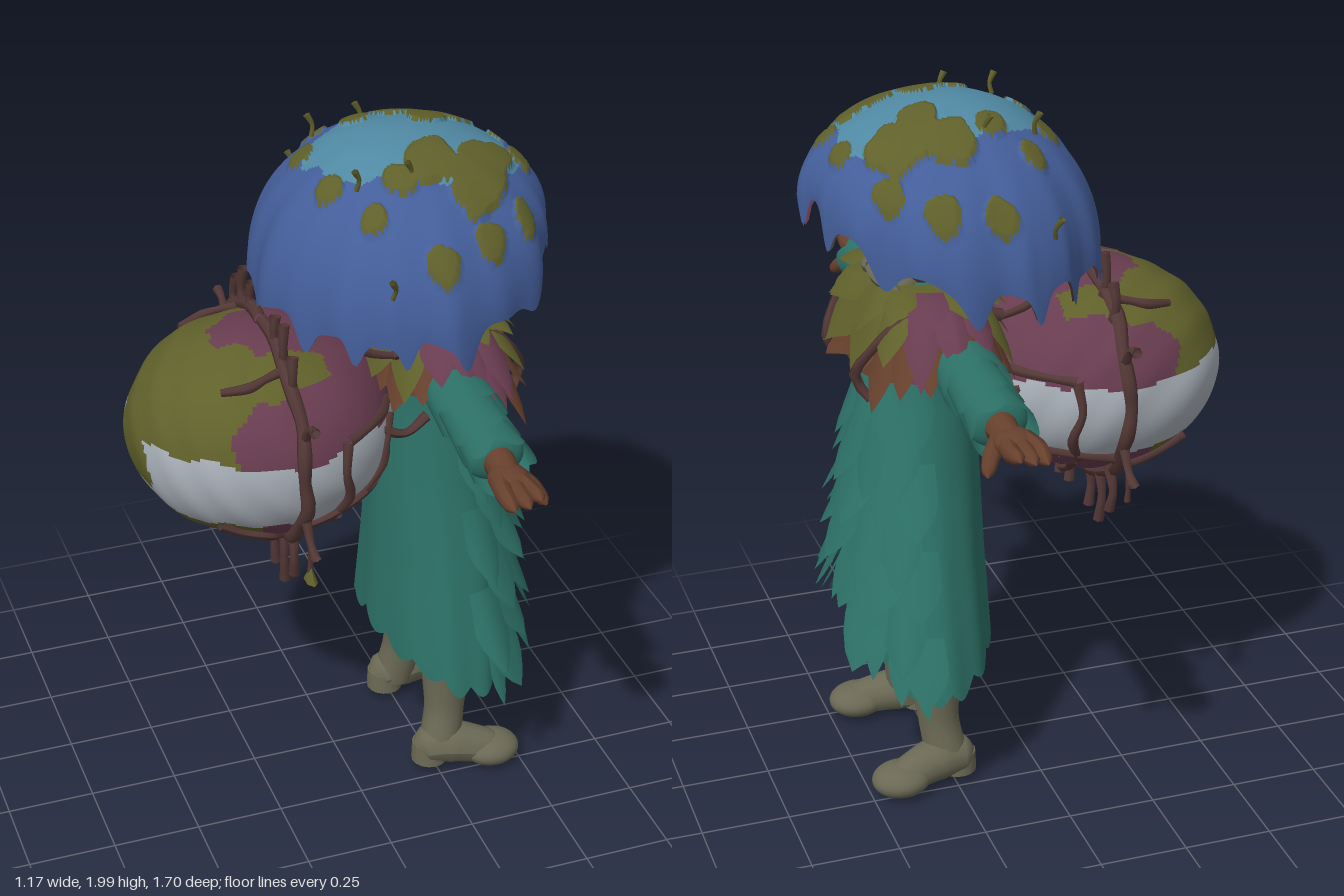
import * as THREE from 'three';

const mat = (name, color) => Object.assign(new THREE.MeshStandardMaterial({ color, side: THREE.DoubleSide }), { name });
const V = (x, y, z) => new THREE.Vector3(x, y, z);
const { sin, cos, abs, max, min, PI, sign } = Math;

// linear look-up in a short [key, value, ...] table
function table(rows, k, col = 1) {
  let i = 0;
  while (i < rows.length - 2 && k > rows[i + 1][0]) i++;
  const a = rows[i], b = rows[i + 1];
  const t = min(1, max(0, (k - a[0]) / (b[0] - a[0])));
  return a[col] + (b[col] - a[col]) * t;
}

export function createModel() {
  const root = new THREE.Group();
  const blue = mat('cap blue', 0x445e9a), sky = mat('cap light blue', 0x5089a3);
  const moss = mat('moss', 0x60602b), plum = mat('plum', 0x683c50);
  const teal = mat('teal cloth', 0x2c7066), hide = mat('boot and beard grey', 0x6b6955);
  const skin = mat('brown skin', 0x67402d), bark = mat('bark', 0x523735);
  const shell = mat('pale shell', 0xa8afb8), gill = mat('gill brown', 0x433d30);

  function add(name, geo, m, pos, scale) {
    const mesh = new THREE.Mesh(geo, m);
    mesh.name = name;
    if (pos) mesh.position.set(...pos);
    if (scale) mesh.scale.set(...scale);
    root.add(mesh);
    return mesh;
  }

  // grid surface f(u, v), with faces sorted into colour groups by pick(point, u, v)
  function surface(name, f, nu, nv, mats, pick = () => 0, closed = true) {
    const pos = [], w = closed ? nu : nu + 1, faces = mats.map(() => []);
    for (let j = 0; j <= nv; j++) for (let i = 0; i < w; i++) pos.push(...f(i / nu, j / nv).toArray());
    for (let j = 0; j < nv; j++) for (let i = 0; i < nu; i++) {
      const n = (i + 1) % w, a = j * w + i, b = j * w + n, c = a + w, d = b + w;
      const u = (i + 0.5) / nu, v = (j + 0.5) / nv;
      faces[pick(f(u, v), u, v)].push(a, b, c, b, d, c);
    }
    const geo = new THREE.BufferGeometry();
    geo.setAttribute('position', new THREE.Float32BufferAttribute(pos, 3));
    geo.setIndex(faces.flat());
    let start = 0;
    faces.forEach((l, k) => { geo.addGroup(start, l.length, k); start += l.length; });
    geo.computeVertexNormals();
    return add(name, geo, mats);
  }

  // pointed leaf lying on a surface: at(k, v), k across and v along
  const leaf = (name, at, m) => surface(name, (u, v) => {
    const w = v < 0.5 ? 1 : 1 - ((v - 0.5) / 0.5) ** 1.4;
    return at((u * 2 - 1) * w, v);
  }, 6, 6, [m], () => 0, false);

  // tube through points with a radius at each point
  function limb(name, pts, radii, m, sides = 8, seg = 16) {
    const curve = new THREE.CatmullRomCurve3(pts.map(p => V(...p)));
    const geo = new THREE.TubeGeometry(curve, seg, 1, sides);
    const p = geo.attributes.position, v = V(), rows = radii.map((r, i) => [i / (radii.length - 1), r]);
    for (let i = 0; i < p.count; i++) {
      const u = Math.floor(i / (sides + 1)) / seg, c = curve.getPointAt(u);
      const r = table(rows, curve.getUtoTmapping(u));
      v.fromBufferAttribute(p, i).sub(c).multiplyScalar(r).add(c);
      p.setXYZ(i, v.x, v.y, v.z);
    }
    geo.computeVertexNormals();
    return add(name, geo, m);
  }
  const twig = (name, pts, r = 0.014) => limb(name, pts, pts.map((_, i) => r * (1 - 0.3 * (i % 2))), bark, 6, 14);
  const wobble = (x, y, z) => sin(x * 23 + y * 9) * sin(z * 19 + 1) + 0.5 * sin(x * 47 + z * 41 + y * 31);

  // --- mushroom cap, moss patches given as x, z, radius ---
  const patches = [[0.22, 0.16, 0.085], [0.36, 0.17, 0.1], [0.31, 0.25, 0.09], [0.42, 0.12, 0.06], [0.25, -0.2, 0.085],
    [0.37, -0.19, 0.095], [0.29, -0.1, 0.065], [0.42, -0.16, 0.06], [-0.05, 0.11, 0.045], [-0.05, -0.11, 0.045],
    [0.02, 0.26, 0.042], [0.03, -0.25, 0.042], [0.16, 0.395, 0.055], [0.31, 0.36, 0.06], [0.17, -0.4, 0.055],
    [0.31, -0.37, 0.06], [0.5, 0.07, 0.05], [0.5, -0.07, 0.05], [0.11, 0.2, 0.045], [0.12, -0.17, 0.045], [0.43, 0.28, 0.055], [0.43, -0.28, 0.055]]
    .map(([x, z, r]) => {
      const p = (x - 0.18) / 0.395, q = z / 0.455, s = Math.hypot(p, q), k = Math.asin(s) / (PI / 2) / s;
      return [p * k, q * k, r / 0.68];
    });
  const mossy = (a, v) => {
    const p = v * cos(a), q = v * sin(a), n = 1 + 0.18 * wobble(p * 0.7, 0, q * 0.7);
    return patches.some(([x, z, r]) => Math.hypot(p - x, q - z) < r * n);
  };
  const cap = (u, v) => {
    const a = u * 2 * PI, s = sin(v * PI / 2), c = cos(v * PI / 2);
    const rim = 1.58 + 0.165 * max(0, cos(a)) ** 1.7;
    const drip = 0.075 * abs(sin(a * 7 + 1.3 + 0.8 * sin(a * 3))) ** 7 + 0.012 * sin(a * 13);
    const k = s * (1 + 0.018 * v * sin(a * 9) + 0.012 * v * sin(a * 17));
    return V(0.18 + 0.398 * cos(a) * k, rim + (1.988 - rim) * c - drip * v ** 9 + (mossy(a, v) ? 0.012 : 0), 0.46 * sin(a) * k);
  };
  surface('cap', cap, 240, 80, [blue, sky, moss], (p, u, v) => mossy(u * 2 * PI, v) ? 2
    : ((p.x - 0.22) / 0.29) ** 2 + (p.z / 0.22) ** 2 < 1 + 0.15 * wobble(p.x, 0, p.z) ? 1 : 0);
  surface('capUnderside', (u, v) => cap(u, v).lerp(V(0.18, 1.6, 0), 0.07 - 0.05 * v ** 8), 160, 24, [gill, plum],
    (p, u, v) => v > 0.45 && wobble(p.x * 0.5, p.y * 0.5, p.z * 0.5) > 0.75 ? 1 : 0);
  for (const s of [1, -1]) {
    for (const [x, y, z] of [[0.0, 1.92, 0.18], [0.14, 1.93, 0.19], [0.02, 1.71, 0.4]])
      limb('capSprout', [[x, y, z * s], [x + 0.005, y + 0.03, z * s * 1.03], [x - 0.01, y + 0.06, z * s * 1.06]], [0.007, 0.006, 0.01], moss, 5, 6);
    twig('capBrace', [[-0.02, 1.72, 0.17 * s], [-0.03, 1.55, 0.2 * s], [0.01, 1.46, 0.2 * s], [0.12, 1.42, 0.2 * s]]);
  }

  // --- egg-shaped pack ---
  const egg = (a, b, r) => V(-0.22 + 0.37 * r * sin(b) * cos(a), 1.18 + 0.295 * r * cos(b), 0.365 * r * sin(b) * sin(a));
  surface('eggPack', (u, v) => {
    const a = u * 2 * PI, b = v * PI;
    return egg(a, b, 1 + 0.009 * wobble(cos(a) * sin(b) * 0.3, cos(b) * 0.3, sin(a) * sin(b) * 0.3));
  }, 160, 90, [shell, plum, moss], p => {
    const n = 0.012 * wobble(p.x * 0.6, p.y, p.z * 0.6), z = abs(p.z);
    if (p.y > 1.235 + n) return p.x < -0.37 + 3 * n + 0.1 * max(0, 1 - (abs(z - 0.17) / 0.12) ** 4)
      || (p.y > 1.39 + n && p.x < -0.08 && z > 0.13) ? 2 : 1;
    if (p.y < 1.02 + n) return p.x < -0.44 + n || (p.y > 0.985 + n && p.x < -0.3) ? 2 : 1;
    return p.x < -0.57 + n ? 2 : 0;
  });
  // vine hoop and ragged stubs round the pack
  const hoop = [];
  for (let i = 0; i <= 24; i++) {
    const a = i / 24 * 2 * PI;
    hoop.push([-0.205 + 0.006 * sin(i * 2), 1.18 + 0.31 * cos(a), (0.375 + 0.008 * sin(i * 3)) * sin(a)]);
  }
  limb('packHoop', hoop, hoop.map((_, i) => 0.017 + 0.004 * (i % 2)), bark, 7, 72);
  for (const s of [1, -1]) {
    for (const [z, y0, y1] of [[0.1, 1.46, 1.55], [0.17, 1.43, 1.56], [0.24, 1.38, 1.5], [0.08, 0.9, 0.76], [0.16, 0.92, 0.75], [0.24, 0.95, 0.82]])
      twig('packStub', [[-0.2, y0, z * s], [-0.205, (y0 + y1) / 2, z * s * 1.08], [-0.2, y1, z * s * 1.02]], 0.017);
    twig('packSpur', [[-0.2, 1.06, 0.35 * s], [-0.2, 1.0, 0.39 * s], [-0.2, 0.98, 0.43 * s]], 0.015);
    twig('packSpurTip', [[-0.2, 1.0, 0.39 * s], [-0.2, 0.95, 0.385 * s], [-0.2, 0.91, 0.38 * s]], 0.01);
    twig('packSpurUpper', [[-0.2, 1.3, 0.34 * s], [-0.2, 1.36, 0.39 * s], [-0.2, 1.37, 0.43 * s]], 0.015);
    // vines hugging the shell, from angle a0, b0 to a1, b1
    for (const [a0, b0, a1, b1] of [[1.15, 1.3, 1.1, 2.2], [0.55, 1.35, 0.8, 2.0], [1.5, 2.2, 0.3, 1.95], [1.1, 2.2, 0.7, 2.9],
      [2.2, 2.1, 1.55, 2.5], [0.2, 1.9, 0.1, 2.8], [1.5, 0.55, 2.2, 0.75], [1.15, 1.3, 0.4, 1.25]])
      twig('packVine', [0, 0.33, 0.66, 1].map((t, i) => egg(s * (a0 + (a1 - a0) * t + 0.06 * (i % 2)), b0 + (b1 - b0) * t, 1.015).toArray()), 0.016);
    // strap over the chest
    twig('shoulderStrap', [[0.1, 1.43, 0.2], [0.25, 1.475, 0.21], [0.38, 1.45, 0.215], [0.465, 1.36, 0.18], [0.495, 1.28, 0.14], [0.46, 1.22, 0.17]]
      .map(([x, y, z]) => [x, y, z * s]), 0.017);
    twig('underarmStrap', [[0.05, 1.22, 0.22 * s], [0.13, 1.19, 0.22 * s], [0.2, 1.22, 0.2 * s]], 0.016);
  }
  add('hangingLeaf', new THREE.ConeGeometry(0.035, 0.05, 6), moss, [-0.2, 0.91, 0.385], [0.5, 1, 1]);

  // --- robe: y, back x, front x, half width ---
  const girth = [[0.3, 0.1, 0.49, 0.365], [0.45, 0.1, 0.5, 0.335], [0.7, 0.11, 0.49, 0.275], [0.95, 0.115, 0.465, 0.215],
    [1.2, 0.125, 0.435, 0.165], [1.4, 0.14, 0.4, 0.16], [1.5, 0.2, 0.34, 0.08]];
  const hemRows = [[0, 0.82], [0.12, 0.68], [0.3, 0.57], [0.7, 0.45], [1.15, 0.37], [1.7, 0.38], [2.2, 0.43], [PI, 0.49]];
  const hem = a => table(hemRows, abs(a)) - 0.035 * abs(sin(a * 8));
  const robe = (a, y, out = 0) => {
    const b = table(girth, y, 1), f = table(girth, y, 2), w = table(girth, y, 3);
    const fold = 1 + 0.018 * sin(a * 11) * max(0, 1.2 - y);
    return V((b + f) / 2 + ((f - b) / 2 * fold + out) * cos(a), y, (w * fold + out) * sin(a));
  };
  surface('robe', (u, v) => {
    const a = (u * 2 - 1) * PI;
    return robe(a, 1.5 + (hem(a) - 1.5) * v);
  }, 128, 30, [teal]);
  // overlapping pointed leaves on the front, parting above the legs
  for (let r = 0; r < 7; r++) for (let i = 0; i < 6; i++) {
    const y = 1.26 - r * 0.12, a = ((i + (r % 2 ? 0.5 : 0)) / 5.5 - 0.5) * 2.5, L = 0.2 + 0.03 * sin(i * 5 + r * 3);
    if (y - L > hem(a) - 0.04) leaf('robeLeaf', (k, v) =>
      robe(a + k * 0.28, y - L * v, 0.004 + (0.05 + 0.008 * r * cos(a) + 0.012 * sin(i * 3 + r)) * v - 0.014 * k * k * v), teal);
  }
  for (const s of [1, -1]) for (const a of [0.2, 0.42, 0.68, 0.95, 1.2])
    leaf('hemLeaf', (k, v) => robe(s * (a + 0.13 * k + 0.04 * v), table(hemRows, a) + 0.13 - 0.17 * v, 0.006 + (0.045 + 0.03 * cos(a)) * v), teal);

  // --- leafy mantle ---
  const mantle = (a, t, out = 0) => {
    const c = cos(a), q = abs(sin(a)), low = (c > 0 ? 1.23 : 1.26) + 0.055 * q;
    return V(0.25 + 0.03 * t + (0.1 + 0.09 * t + out) * c, 1.5 + out * 0.6 + (low - 1.5) * t ** (2.1 + 1.6 * q), (0.1 + 0.265 * t + out) * sign(sin(a)) * q ** 0.7);
  };
  surface('mantle', (u, v) => mantle(u * 2 * PI, v * 0.95), 96, 14, [moss, plum, skin],
    (p, u, v) => abs(p.z) > 0.27 ? 1 : v > 0.92 ? 2 : 0);
  for (const [row, n, v0, len, out] of [[0, 18, 0.72, 0.31, 0.006], [1, 14, 0.5, 0.45, 0.014], [2, 12, 0.25, 0.45, 0.022]])
    for (let i = 0; i < n; i++) {
      const a = (i + 0.5) / n * 2 * PI, q = abs(sin(a)), L = len + 0.05 * sin(i * 4 + row);
      const m = row === 0 ? (q > 0.85 && i % 2 ? plum : skin) : row === 1 ? (q > 0.75 ? plum : moss) : q > 0.9 && i % 2 ? plum : moss;
      leaf('mantleLeaf', (k, v) => mantle(a + k * 3.8 / n, v0 + L * v, out + 0.03 * v * v - 0.008 * k * k), m);
    }

  // --- arms ---
  const ball = new THREE.SphereGeometry(1, 24, 16);
  for (const s of [1, -1]) {
    const layers = [['upperSleeve', 0.1, 0.43, 0.07, 0.09], ['foreSleeve', 0.36, 0.55, 0.07, 0.083], ['cuff', 0.46, 0.64, 0.066, 0.085]];
    for (const [name, z0, z1, r0, r1] of layers)
      surface(name, (u, v) => {
        const a = u * 2 * PI, r = r0 + (r1 - r0) * v, z = z0 + (z1 - z0) * v + 0.04 * v ** 3 * (abs(sin(a * 3 + z0 * 9)) - 0.6);
        return V(0.24 + r * 1.05 * cos(a), 1.385 - 0.13 * z + r * 0.9 * sin(a), z * s);
      }, 36, 8, [teal]);
    add('cuffLining', ball, teal, [0.24, 1.305, 0.58 * s], [0.082, 0.07, 0.035]);
    limb('wrist', [[0.24, 1.305, 0.55 * s], [0.24, 1.3, 0.63 * s], [0.235, 1.297, 0.7 * s]], [0.045, 0.042, 0.03], skin, 12);
    add('palm', ball, skin, [0.233, 1.298, 0.7 * s], [0.055, 0.034, 0.07]);
    for (let i = 0; i < 3; i++) {
      const x = 0.192 + i * 0.036;
      limb('finger', [[0.208 + i * 0.022, 1.298, 0.69 * s], [x, 1.302, 0.77 * s], [x, 1.296 + 0.008 * i, (0.825 - 0.008 * abs(i - 1)) * s],
        [x, 1.295 + 0.008 * i, (0.848 - 0.01 * abs(i - 1)) * s]], [0.03, 0.025, 0.019, 0.004], skin, 8, 12);
    }
    limb('thumb', [[0.25, 1.295, 0.65 * s], [0.295, 1.268, 0.7 * s], [0.315, 1.242, 0.735 * s], [0.32, 1.235, 0.747 * s]], [0.03, 0.025, 0.018, 0.004], skin, 8, 12);
  }

  // --- legs and boots ---
  for (const s of [1, -1]) {
    limb('trouserLeg', [[0.27, 0.85, 0.09 * s], [0.28, 0.7, 0.12 * s], [0.29, 0.52, 0.16 * s]], [0.095, 0.092, 0.08], skin, 12);
    limb('bootShaft', [[0.285, 0.64, 0.13 * s], [0.29, 0.5, 0.15 * s], [0.29, 0.38, 0.162 * s], [0.285, 0.2, 0.175 * s], [0.265, 0.07, 0.195 * s]],
      [0.075, 0.09, 0.077, 0.058, 0.062], hide, 16, 20);
    limb('bootFoot', [[0.185, 0.07, 0.19 * s], [0.22, 0.08, 0.193 * s], [0.3, 0.083, 0.205 * s], [0.4, 0.062, 0.23 * s], [0.46, 0.055, 0.245 * s]],
      [0.01, 0.055, 0.064, 0.052, 0.03], hide, 14, 24);
    add('bootToe', ball, hide, [0.415, 0.055, 0.232 * s], [0.085, 0.048, 0.075]);
    add('bootHeel', new THREE.CylinderGeometry(0.052, 0.054, 0.06, 16), hide, [0.235, 0.062, 0.193 * s]);
  }

  // --- head ---
  add('head', ball, skin, [0.275, 1.61, 0], [0.105, 0.15, 0.105]);
  add('hood', ball, teal, [0.21, 1.53, 0], [0.085, 0.075, 0.105]);
  add('brow', ball, skin, [0.355, 1.66, 0], [0.035, 0.022, 0.085]);
  add('nose', ball, skin, [0.38, 1.575, 0], [0.036, 0.05, 0.045]);
  add('beard', ball, hide, [0.335, 1.49, 0], [0.07, 0.05, 0.085]);
  for (const s of [1, -1]) {
    add('eye', ball, gill, [0.37, 1.625, 0.045 * s], [0.008, 0.009, 0.016]);
    add('cheek', ball, skin, [0.345, 1.565, 0.06 * s], [0.035, 0.04, 0.04]);
    add('sideburn', ball, hide, [0.285, 1.56, 0.096 * s], [0.018, 0.045, 0.014]);
    limb('moustache', [[0.4, 1.53, 0], [0.395, 1.52, 0.05 * s], [0.37, 1.495, 0.1 * s], [0.35, 1.455, 0.155 * s]], [0.02, 0.024, 0.018, 0.004], hide, 8, 12);
  }
  return root;
}
